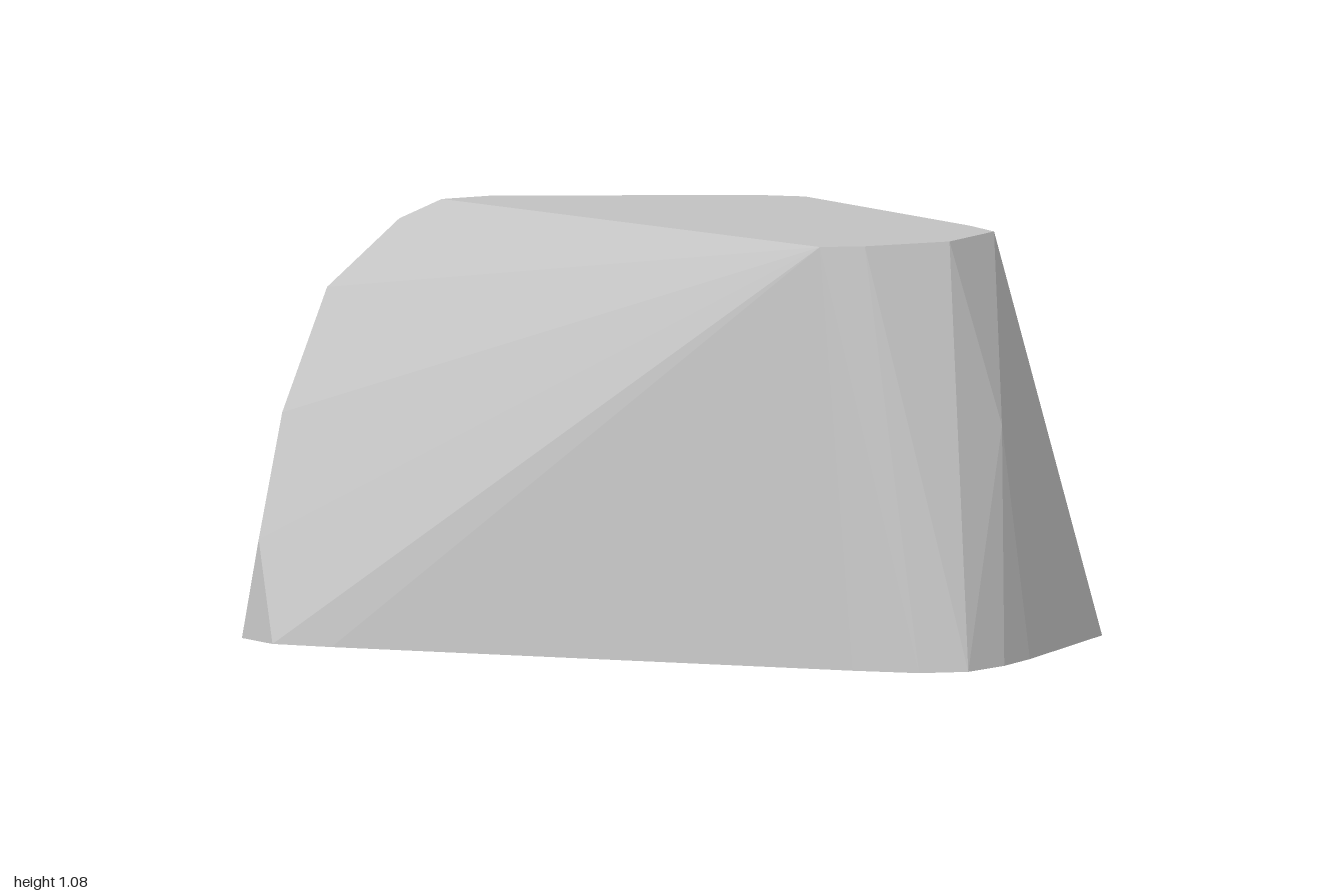
import * as THREE from 'three';
import { ConvexGeometry } from 'three/addons/geometries/ConvexGeometry.js';

// Outlines as [x, z] pairs at a given height
const ring = (y, pairs) => pairs.map(([x, z]) => new THREE.Vector3(x, y, z));

export function createModel() {
  const group = new THREE.Group();
  group.name = 'rock';
  const stone = new THREE.MeshStandardMaterial({ color: 0xc4c4c4, flatShading: true });
  stone.name = 'light grey stone';

  // Flat underside
  const base = ring(0, [
    [-0.96, 0.58], [-0.84, 0.64], [-0.68, 0.62], [0.7, 0.38], [0.87, 0.34], [0.97, 0.26],
    [1, 0.12], [1, -0.02], [0.96, -0.49], [0.86, -0.61], [0.7, -0.64],
    [-0.21, -0.57], [-0.4, -0.49], [-0.5, -0.35], [-0.95, 0.44],
  ]);

  // Flat top
  const top = ring(1.075, [
    [0.1, -0.495], [-0.03, -0.46], [-0.62, -0.13], [-0.7, -0.02], [0.565, 0.305],
    [0.66, 0.24], [0.81, 0.06], [0.825, -0.155], [0.72, -0.22],
  ]);

  // Chipped corners on the two ends, as [x, y, z]
  const chips = [
    [-0.78, 1.03, 0.06], [-0.92, 0.86, 0.19], [-0.97, 0.6, 0.12], [-0.92, 0.55, 0.04],
    [-1, 0.47, 0.27], [-0.944, 0.56, 0.39], [-0.938, 0.25, 0.53], [-0.46, 0.08, -0.44],
    [0.93, 0.6, 0],
  ].map((p) => new THREE.Vector3(...p));

  const body = new THREE.Mesh(new ConvexGeometry([...base, ...top, ...chips]), stone);
  body.name = 'rockBody';
  group.add(body);
  return group;
}
